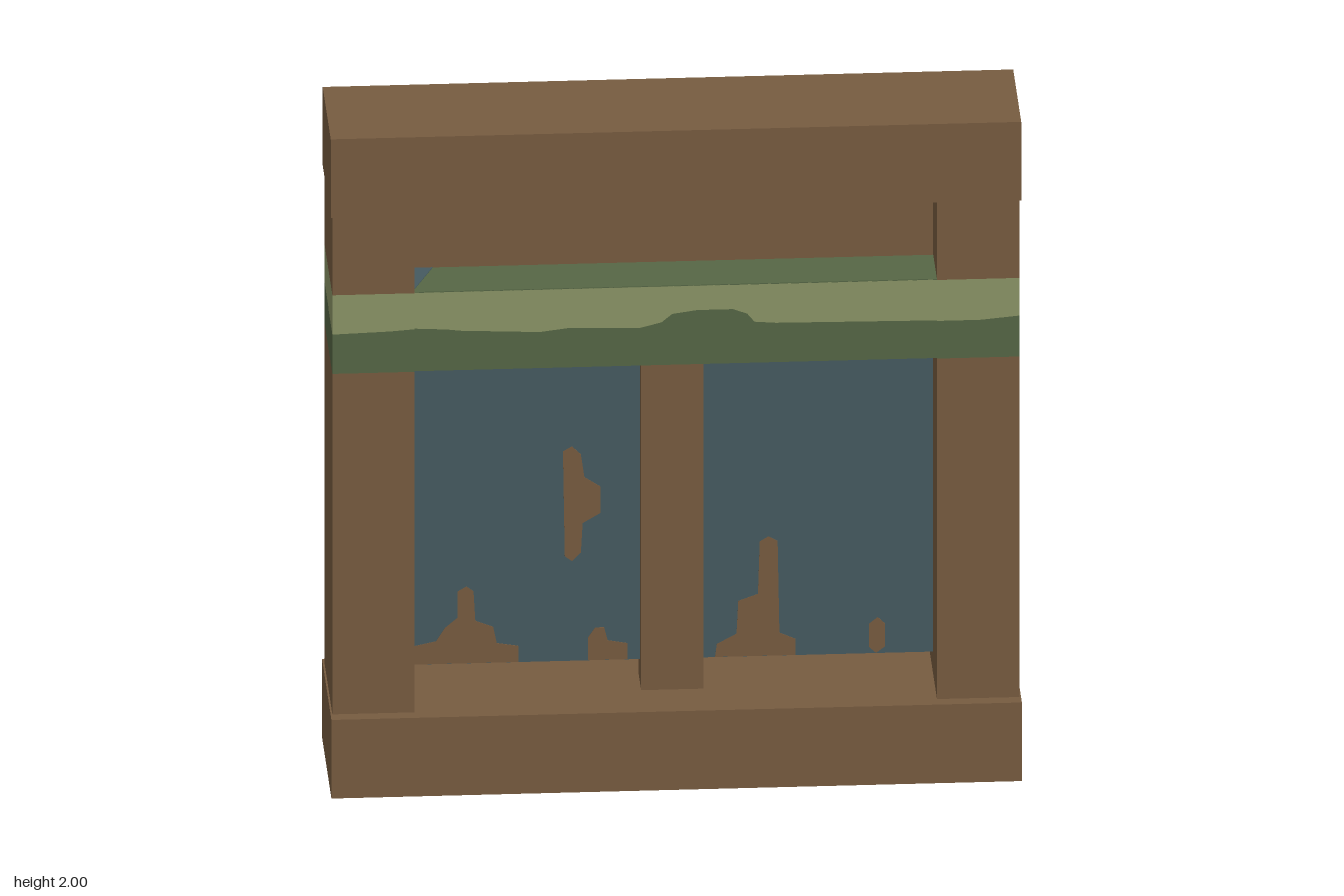
import * as THREE from 'three';

const material = (name, color) => {
  const m = new THREE.MeshStandardMaterial({ color });
  m.name = name;
  return m;
};

export function createModel() {
  const wood = material('brown wood', 0x775c40);
  const lightGreen = material('light green paint', 0x8b9567);
  const darkGreen = material('dark green paint', 0x566745);
  const blue = material('blue panel paint', 0x455a60);

  const model = new THREE.Group();
  model.name = 'windowFrame';

  const add = (parent, name, geometry, mat) => {
    const mesh = new THREE.Mesh(geometry, mat);
    mesh.name = name;
    parent.add(mesh);
    return mesh;
  };
  // Box given by its limits in x and y and its range in z
  const box = (parent, name, x0, x1, y0, y1, z0, z1, mat) =>
    add(parent, name, new THREE.BoxGeometry(x1 - x0, y1 - y0, z1 - z0)
      .translate((x0 + x1) / 2, (y0 + y1) / 2, (z0 + z1) / 2), mat);
  // Outline in x and y, extruded from z0 to z1
  const slab = (parent, name, points, z0, z1, mat) => {
    const shape = new THREE.Shape(points.map(([x, y]) => new THREE.Vector2(x, y)));
    const geometry = new THREE.ExtrudeGeometry(shape, { depth: z1 - z0, bevelEnabled: false });
    return add(parent, name, geometry.translate(0, 0, z0), mat);
  };

  // Sill and top beam
  box(model, 'sill', -0.965, 0.965, 0, 0.24, -0.21, 0.21, wood);
  box(model, 'topBeam', -0.965, 0.965, 1.76, 2, -0.18, 0.18, wood);

  // Side posts, interrupted by the painted band
  for (const side of [-1, 1]) {
    const [x0, x1] = side < 0 ? [-0.96, -0.73] : [0.73, 0.96];
    const name = side < 0 ? 'rightPost' : 'leftPost';
    box(model, name + 'Lower', x0, x1, 0.24, 1.28, -0.172, 0.172, wood);
    box(model, name + 'Upper', x0, x1, 1.52, 1.76, -0.172, 0.172, wood);
  }

  // Middle post
  box(model, 'middlePost', -0.09, 0.085, 0.24, 1.28, -0.06, 0.06, wood);

  // Wavy line dividing the two greens
  const wave = [[-0.96, 1.4], [-0.8, 1.405], [-0.73, 1.41], [-0.64, 1.405], [-0.6, 1.4],
    [-0.38, 1.39], [-0.3, 1.4], [-0.1, 1.395], [-0.04, 1.41], [-0.01, 1.435], [0.06, 1.445],
    [0.16, 1.445], [0.2, 1.43], [0.22, 1.405], [0.28, 1.4], [0.73, 1.395], [0.85, 1.395], [0.96, 1.405]];

  // Painted band across posts and crossbeam: front half, then the same turned round for the back
  const band = new THREE.Group();
  band.name = 'frontBand';
  const spans = [['Right', -0.96, -0.73, 0.172], ['Middle', -0.73, 0.73, 0.168], ['Left', 0.73, 0.96, 0.172]];
  for (const [name, x0, x1, depth] of spans) {
    const line = wave.filter(([x]) => x >= x0 && x <= x1);
    slab(band, 'darkBand' + name, [[x0, 1.28], [x1, 1.28], ...[...line].reverse()], 0, depth, darkGreen);
    slab(band, 'lightBand' + name, [...line, [x1, 1.52], [x0, 1.52]], 0, depth, lightGreen);
  }
  // Dark green top of the crossbeam and blue corners above and below
  box(band, 'crossbeamTop', -0.73, 0.73, 1.519, 1.522, 0, 0.168, darkGreen);
  const corner = (name, side, y) => {
    const points = [[-0.729, 0.006], [-0.67, 0.006], [-0.729, 0.15]].map(([x, z]) => [x * side, z]);
    const mesh = slab(band, name, points, 0, 0.003, blue);
    mesh.rotation.x = Math.PI / 2;
    mesh.position.y = y;
  };
  corner('upperCorner', 1, 1.524);
  corner('lowerCorner', -1, 1.281);
  const backBand = band.clone();
  backBand.name = 'backBand';
  backBand.rotation.y = Math.PI;
  model.add(band, backBand);

  // Thin panel: blue below the crossbeam, bare wood above
  box(model, 'bluePanel', -0.73, 0.73, 0.31, 1.4, -0.003, 0.003, blue);
  box(model, 'upperPanel', -0.73, 0.73, 1.4, 1.7, -0.003, 0.003, wood);

  // Worn patches showing wood on both sides of the panel
  const patches = [
    [[-0.73, 0.311], [-0.43, 0.311], [-0.43, 0.36], [-0.49, 0.37], [-0.5, 0.42], [-0.55, 0.44],
      [-0.555, 0.53], [-0.575, 0.545], [-0.6, 0.53], [-0.6, 0.45], [-0.635, 0.42], [-0.66, 0.38], [-0.73, 0.365]],
    [[-0.235, 0.311], [-0.125, 0.311], [-0.125, 0.36], [-0.18, 0.37], [-0.19, 0.41], [-0.215, 0.41], [-0.235, 0.38]],
    [[-0.3, 0.63], [-0.28, 0.615], [-0.255, 0.64], [-0.25, 0.73], [-0.2, 0.76], [-0.2, 0.84],
      [-0.245, 0.87], [-0.255, 0.94], [-0.28, 0.965], [-0.305, 0.95]],
    [[0.12, 0.311], [0.345, 0.311], [0.345, 0.36], [0.3, 0.38], [0.295, 0.66], [0.27, 0.675],
      [0.245, 0.66], [0.24, 0.5], [0.185, 0.48], [0.18, 0.38], [0.125, 0.35]],
    [[0.55, 0.33], [0.57, 0.311], [0.595, 0.33], [0.595, 0.4], [0.575, 0.42], [0.55, 0.4]],
  ];
  patches.forEach((points, i) => slab(model, 'wornPatch' + (i + 1), points, -0.0045, 0.0045, wood));

  return model;
}
